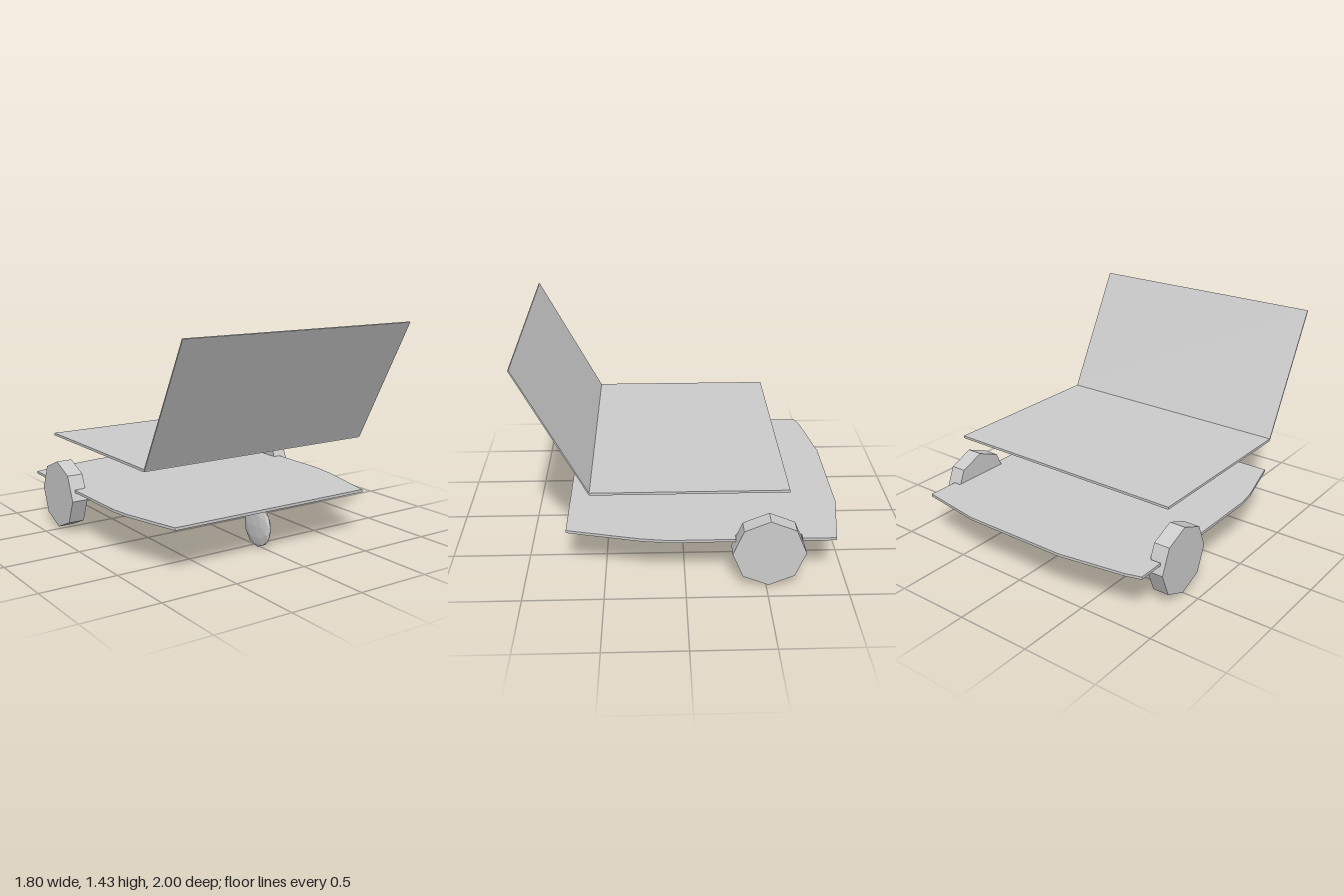
import * as THREE from 'three';

const material = new THREE.MeshStandardMaterial({ color: 0xcccccc, flatShading: true });

function addPart(parent, name, geometry, x = 0, y = 0, z = 0) {
  const mesh = new THREE.Mesh(geometry, material);
  mesh.name = name;
  mesh.position.set(x, y, z);
  parent.add(mesh);
  return mesh;
}

// Slab with an (x, z) outline, lying flat with its underside at y = 0
function flatSlab(outline, thickness) {
  const shape = new THREE.Shape(outline.map(([x, z]) => new THREE.Vector2(x, -z)));
  return new THREE.ExtrudeGeometry(shape, { depth: thickness, bevelEnabled: false }).rotateX(-Math.PI / 2);
}

export function createModel() {
  const group = new THREE.Group();
  group.name = 'wheeledRobot';

  // Chassis plate with tapered nose, bowed rear edge and wheel notches
  const outline = [
    [-0.75, 0.74], [0.705, 0.74], [0.815, 0.28], [0.84, 0.11],
    [0.84, -0.31], [0.79, -0.31], [0.79, -0.72], [0.84, -0.72],
    [0.84, -0.93], [0.4, -1], [-0.33, -1], [-0.77, -0.935], [-0.87, -0.905],
    [-0.87, -0.72], [-0.8, -0.72], [-0.8, -0.31], [-0.87, -0.31],
    [-0.87, 0.22], [-0.85, 0.36],
  ];
  addPart(group, 'chassisPlate', flatSlab(outline, 0.018), 0, 0.292, 0);

  // Octagonal drive wheels and their motor shafts
  for (const [side, s] of [['left', 1], ['right', -1]]) {
    const wheel = new THREE.CylinderGeometry(0.227, 0.227, 0.107, 8).rotateZ(Math.PI / 2);
    addPart(group, side + 'Wheel', wheel, s * 0.845, 0.238, -0.513);
    const shaft = new THREE.CylinderGeometry(0.038, 0.038, 0.19, 8).rotateZ(Math.PI / 2);
    addPart(group, side + 'MotorShaft', shaft, s * 0.68 - 0.005, 0.238, -0.513);
  }

  // Thin faceted caster under the nose
  const caster = new THREE.IcosahedronGeometry(1, 1).scale(0.031, 0.146, 0.137);
  addPart(group, 'casterWheel', caster, -0.014, 0.146, 0.55);

  // Open computer: flat keyboard base and a tilted screen hinged at its front edge
  const computer = new THREE.Group();
  computer.name = 'computer';
  computer.position.set(-0.02, 0, 0);
  group.add(computer);
  addPart(computer, 'keyboardBase', new THREE.BoxGeometry(1.67, 0.016, 1.205), 0, 0.627, -0.0275);
  const rise = 0.8, run = 0.42;
  const screenGeometry = new THREE.BoxGeometry(1.67, Math.hypot(rise, run), 0.008);
  const screen = addPart(computer, 'screen', screenGeometry, 0, 0.627 + rise / 2, 0.576 + run / 2);
  screen.rotation.x = Math.atan2(run, rise);

  return group;
}
